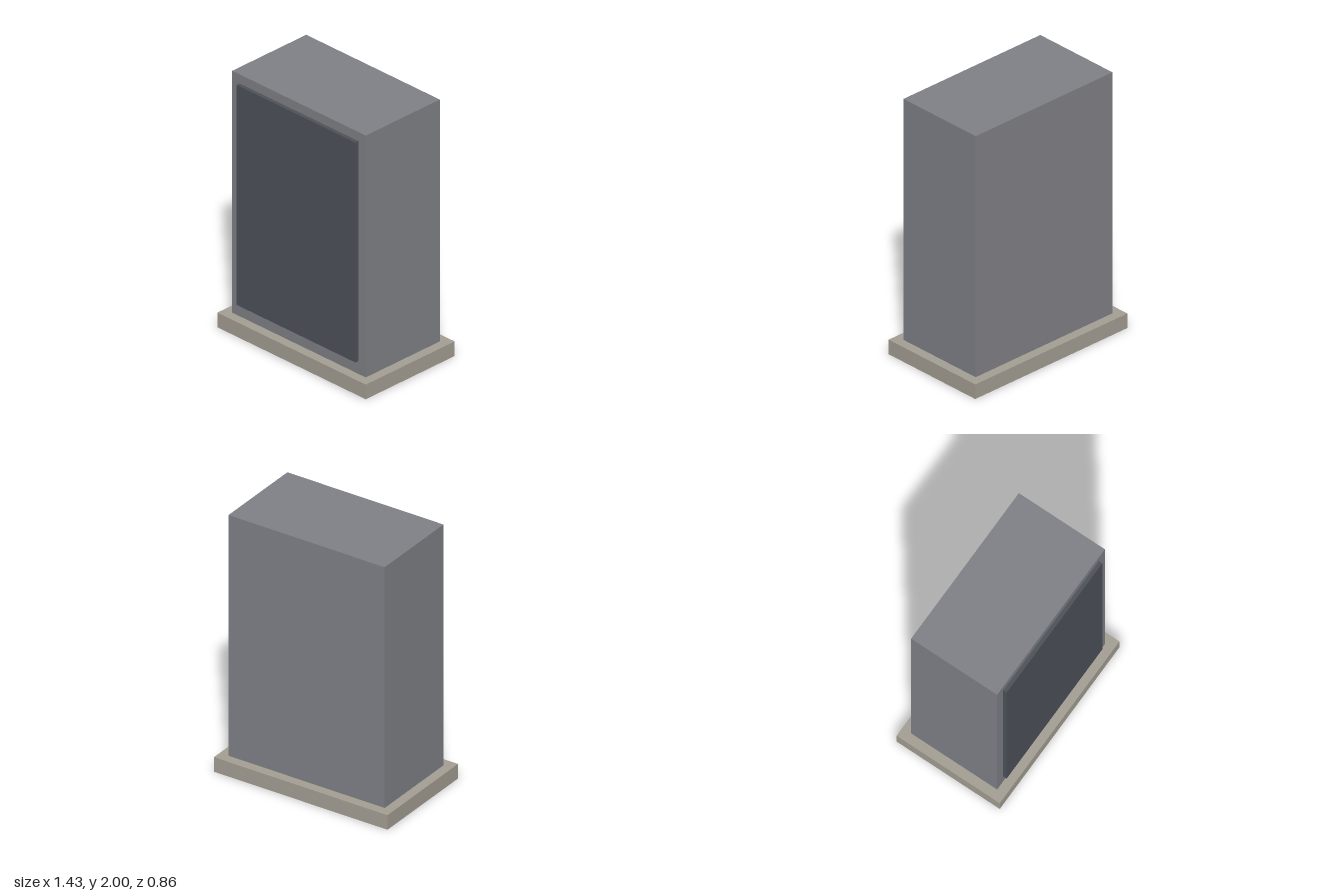
import * as THREE from 'three';

export function createModel() {
  const group = new THREE.Group();

  const material = (name, color) => {
    const m = new THREE.MeshStandardMaterial({ color });
    m.name = name;
    return m;
  };
  const cabinetGrey = material('cabinetGrey', 0x808187);
  const doorSlate = material('doorSlate', 0x4d535a);
  const concrete = material('concrete', 0xa49f93);

  // Box given by its size, its bottom height and its centre in z
  const addBox = (name, mat, width, height, depth, bottom, z = 0) => {
    const mesh = new THREE.Mesh(new THREE.BoxGeometry(width, height, depth), mat);
    mesh.name = name;
    mesh.position.set(0, bottom + height / 2, z);
    group.add(mesh);
  };

  // Plinth under the cabinet
  addBox('plinth', concrete, 1.429, 0.114, 0.857, 0);
  // Cabinet body standing on the plinth
  addBox('cabinet', cabinetGrey, 1.286, 1.886, 0.714, 0.114);
  // Door panel standing proud of the front face
  addBox('door', doorSlate, 1.143, 1.715, 0.029, 0.214, 0.3715);

  return group;
}
